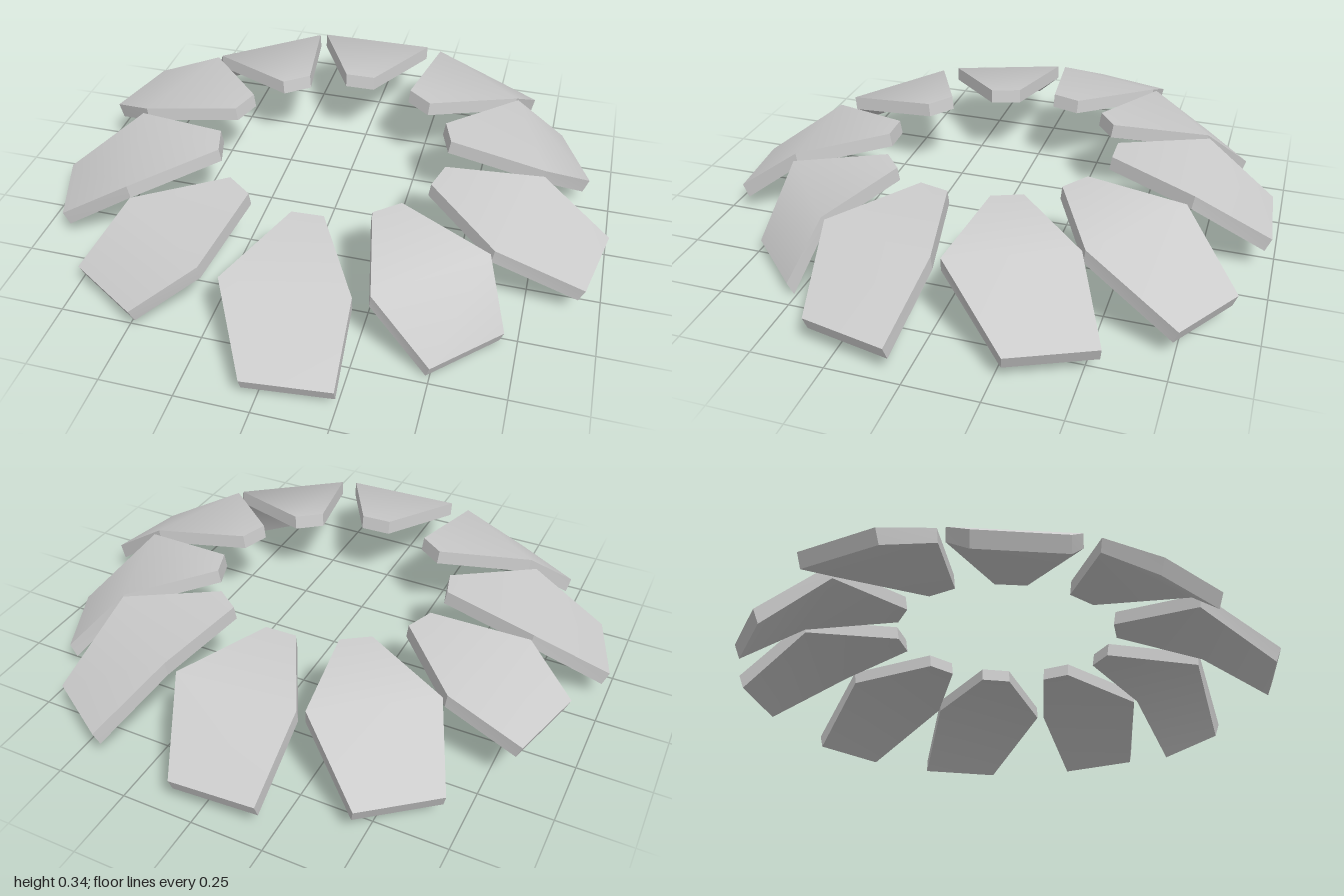
import * as THREE from 'three';

// One plate per row: heading in degrees from the front, the two outer
// corners in plan (x, z, x, z), and the height of the outer edge.
const PLATES = [
  [2.5, 0.25, 0.945, -0.04, 0.975, 0.105],
  [39.8, 0.705, 0.525, 0.5, 0.735, 0.053],
  [74.3, 1, 0.05, 0.94, 0.34, 0.125],
  [109.7, 0.79, -0.555, 0.915, -0.285, 0.105],
  [143.5, 0.42, -0.91, 0.66, -0.76, 0.12],
  [181, -0.21, -0.965, 0.08, -0.985, 0.132],
  [216, -0.7, -0.665, -0.475, -0.845, 0.12],
  [250.3, -0.935, -0.17, -0.86, -0.45, 0.205],
  [285.5, -0.905, 0.405, -1, 0.135, 0.112],
  [323.3, -0.475, 0.8, -0.725, 0.645, 0.11],
];
const THICKNESS = 0.05;

// Six-cornered plate bent along its shoulders; top and bottom shade smoothly, the rim is sharp
function plateGeometry([heading, ax, az, bx, bz, outerY]) {
  const angle = THREE.MathUtils.degToRad(heading);
  const outward = new THREE.Vector3(Math.sin(angle), 0, Math.cos(angle));
  const sideways = new THREE.Vector3(Math.cos(angle), 0, -Math.sin(angle));
  const corner = (side, radius, baseY, tilt) => {
    const p = outward.clone().multiplyScalar(radius).addScaledVector(sideways, side);
    p.y = baseY - tilt * p.z;
    return p;
  };
  const top = [
    corner(0.055, 0.413, 0.328, 0.03),
    corner(-0.055, 0.413, 0.328, 0.03),
    corner(-0.213, 0.72, 0.298, 0.036),
    new THREE.Vector3(bx, outerY, bz),
    new THREE.Vector3(ax, outerY, az),
    corner(0.213, 0.72, 0.298, 0.036),
  ];
  // The underside is set slightly inward, more so at the steep outer end
  const bottom = top.map((p, i) => {
    const q = p.clone().addScaledVector(outward, i === 3 || i === 4 ? -0.02 : -0.008);
    q.y -= THICKNESS;
    return q;
  });

  const points = [...top, ...bottom];
  const index = [];
  for (const [a, b, c] of [[0, 1, 2], [0, 2, 5], [5, 2, 3], [5, 3, 4]]) {
    index.push(a, b, c, a + 6, c + 6, b + 6);
  }
  // Rim
  for (let i = 0; i < 6; i++) {
    const j = (i + 1) % 6;
    const n = points.length;
    points.push(top[i], bottom[i], bottom[j], top[j]);
    index.push(n, n + 1, n + 2, n, n + 2, n + 3);
  }
  const geometry = new THREE.BufferGeometry().setFromPoints(points);
  geometry.setIndex(index);
  geometry.computeVertexNormals();
  return geometry;
}

export function createModel() {
  const group = new THREE.Group();
  group.name = 'plateRing';
  const material = new THREE.MeshStandardMaterial({ color: 0xcccccc });
  PLATES.forEach((plate, i) => {
    const mesh = new THREE.Mesh(plateGeometry(plate), material);
    mesh.name = `plate${i + 1}`;
    group.add(mesh);
  });
  return group;
}
